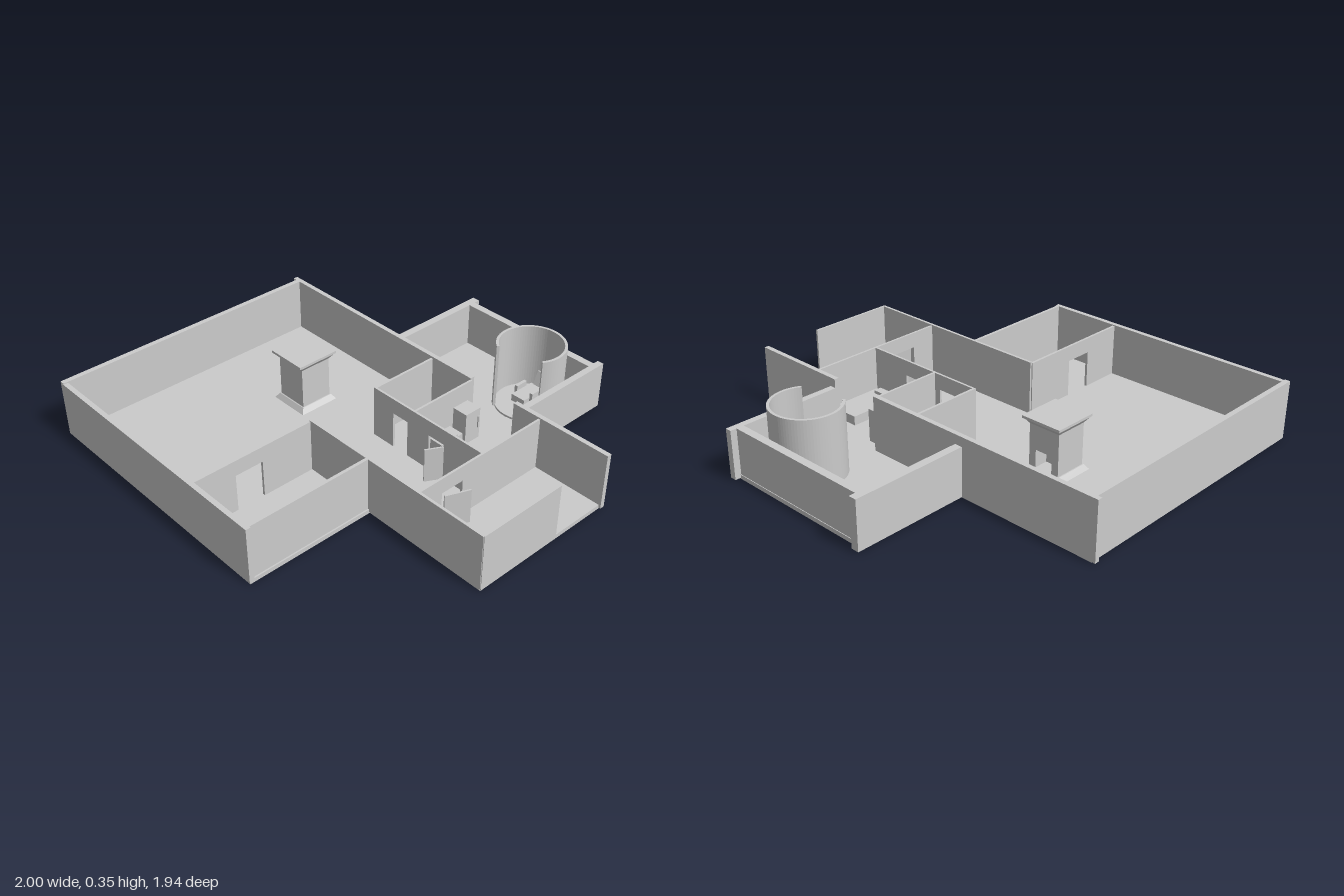
import * as THREE from 'three';

const FLOOR = 0.02, DOOR_TOP = 0.2;

export function createModel() {
  const house = new THREE.Group();
  const mat = new THREE.MeshStandardMaterial({ color: 0xcccccc });

  function add(name, geo, parent = house) {
    const mesh = new THREE.Mesh(geo, mat);
    mesh.name = name;
    parent.add(mesh);
    return mesh;
  }
  // Box given by its limits on each axis
  function block(name, x0, x1, z0, z1, y0, y1, parent) {
    const mesh = add(name, new THREE.BoxGeometry(x1 - x0, y1 - y0, z1 - z0), parent);
    mesh.position.set((x0 + x1) / 2, (y0 + y1) / 2, (z0 + z1) / 2);
    return mesh;
  }
  // Wall along x or z; door = [from, to] leaves a doorway under a lintel
  function wall(name, axis, from, to, c0, c1, top, door) {
    const part = (a, b, y0) => axis === 'x'
      ? block(name, a, b, c0, c1, y0, top)
      : block(name, c0, c1, a, b, y0, top);
    if (!door) return part(from, to, 0.005);
    part(from, door[0], 0.005);
    part(door[0], door[1], DOOR_TOP);
    part(door[1], to, 0.005);
  }

  // Floor slabs
  block('mainFloor', -0.98, 0.99, -0.41, 0.335, 0, FLOOR);
  block('frontFloor', -0.98, 0.36, 0.335, 0.965, 0, FLOOR);
  block('annexFloor', -0.29, 0.515, -0.95, -0.41, 0, FLOOR);

  // Outer walls
  wall('westWall', 'z', -0.41, 0.965, -0.98, -0.955, 0.285);
  wall('frontWall', 'x', -0.97, 0.36, 0.943, 0.967, 0.28);
  wall('backWall', 'x', -1, 0.235, -0.413, -0.39, 0.285);
  wall('backWall', 'x', 0.49, 1, -0.413, -0.39, 0.282);
  wall('roomSideWall', 'z', 0.335, 0.95, 0.338, 0.353, 0.28);
  wall('innerFrontWall', 'x', -0.015, 0.99, 0.325, 0.338, 0.28);
  wall('eastWall', 'z', -0.11, 0.335, 0.982, 0.993, 0.28);

  // Annex walls; the side walls run past the back one
  wall('annexSideWall', 'z', -0.978, -0.41, -0.3, -0.262, 0.24);
  wall('annexSideWall', 'z', -0.978, -0.41, 0.488, 0.52, 0.24);
  wall('annexBackWall', 'x', -0.28, 0.5, -0.947, -0.91, 0.24);

  // Partitions
  wall('frontRoomPartition', 'z', 0.335, 0.945, -0.02, -0.008, 0.275, [0.6, 0.74]);
  wall('storePartition', 'z', -0.395, -0.035, -0.015, -0.003, 0.275);
  wall('kitchenPartition', 'z', -0.395, -0.04, 0.23, 0.241, 0.275);
  wall('hallPartition', 'x', -0.015, 0.235, -0.046, -0.035, 0.275, [0.11, 0.2]);
  wall('hallPartition', 'x', 0.235, 0.635, -0.046, -0.035, 0.275, [0.33, 0.42]);
  wall('eastPartition', 'z', -0.395, 0.33, 0.63, 0.641, 0.275, [0.08, 0.2]);

  // Doors standing ajar
  for (const [x0, z0, x1, z1] of [[0.42, -0.035, 0.38, 0.04], [0.65, 0.195, 0.695, 0.085]]) {
    const len = Math.hypot(x1 - x0, z1 - z0);
    const door = add('door', new THREE.BoxGeometry(len, DOOR_TOP - 0.03, 0.008));
    door.position.set((x0 + x1) / 2, 0.105, (z0 + z1) / 2);
    door.rotation.y = -Math.atan2(z1 - z0, x1 - x0);
  }

  // Square frustum with half widths at bottom and top
  function frustum(name, bottom, top, y0, y1, parent) {
    const geo = new THREE.CylinderGeometry(top * Math.SQRT2, bottom * Math.SQRT2, y1 - y0, 4, 1)
      .rotateY(Math.PI / 4).toNonIndexed();
    geo.computeVertexNormals();
    add(name, geo, parent).position.y = (y0 + y1) / 2;
  }
  // Freestanding fireplace with a hearth recess at the back
  const fire = new THREE.Group();
  fire.name = 'fireplace';
  fire.position.set(-0.445, 0, 0.008);
  house.add(fire);
  frustum('fireplaceBase', 0.102, 0.085, FLOOR, 0.045, fire);
  block('fireplaceCore', -0.08, 0.08, -0.01, 0.08, 0.04, 0.25, fire);
  for (const s of [-1, 1]) {
    block('fireplaceJamb', s * 0.062 - 0.018, s * 0.062 + 0.018, -0.08, -0.01, 0.04, 0.25, fire);
  }
  block('fireplaceLintel', -0.044, 0.044, -0.08, -0.01, 0.13, 0.25, fire);
  frustum('fireplaceCapFlare', 0.08, 0.1, 0.245, 0.272, fire);
  block('fireplaceCap', -0.102, 0.102, -0.107, 0.107, 0.272, 0.284, fire);

  // Round enclosure, open toward the house
  const start = THREE.MathUtils.degToRad(125), end = THREE.MathUtils.degToRad(392);
  const ring = new THREE.Shape();
  ring.absarc(0, 0, 0.163, start, end, false);
  ring.absarc(0, 0, 0.15, end, start, true);
  const ringGeo = new THREE.ExtrudeGeometry(ring, { depth: 0.33, bevelEnabled: false, curveSegments: 30 });
  add('roundWall', ringGeo.rotateX(Math.PI / 2)).position.set(0.293, 0.35, -0.728);
  add('roundWallFloor', new THREE.CylinderGeometry(0.155, 0.155, 0.01, 36)).position.set(0.293, 0.025, -0.728);

  // Armchair inside the enclosure
  const chair = new THREE.Group();
  chair.name = 'armchair';
  chair.position.set(0.293, 0.03, -0.728);
  house.add(chair);
  block('chairSeat', -0.038, 0.038, -0.07, 0.068, 0.02, 0.055, chair);
  block('chairFoot', -0.025, 0.025, -0.04, 0.03, 0, 0.02, chair);
  for (const s of [-1, 1]) block('chairArm', s * 0.046 - 0.008, s * 0.046 + 0.008, -0.035, 0.03, 0.03, 0.08, chair);
  const back = add('chairBack', new THREE.BoxGeometry(0.046, 0.075, 0.012), chair);
  back.position.set(0, 0.082, -0.085);
  back.rotation.x = -0.4;

  // Kitchen and bedside furniture
  block('tallCabinet', 0.241, 0.32, -0.37, -0.28, FLOOR, 0.18);
  block('cabinetHandle', 0.32, 0.326, -0.365, -0.355, 0.08, 0.14);
  block('counter', 0.241, 0.32, -0.262, -0.13, FLOOR, 0.09);
  block('counterBasin', 0.262, 0.308, -0.23, -0.17, 0.09, 0.1);
  block('counterTap', 0.305, 0.325, -0.225, -0.205, 0.09, 0.108);
  block('bed', 0.48, 0.63, -0.32, -0.048, FLOOR, 0.065);
  block('pillow', 0.52, 0.598, -0.092, -0.052, 0.065, 0.08);

  return house;
}
